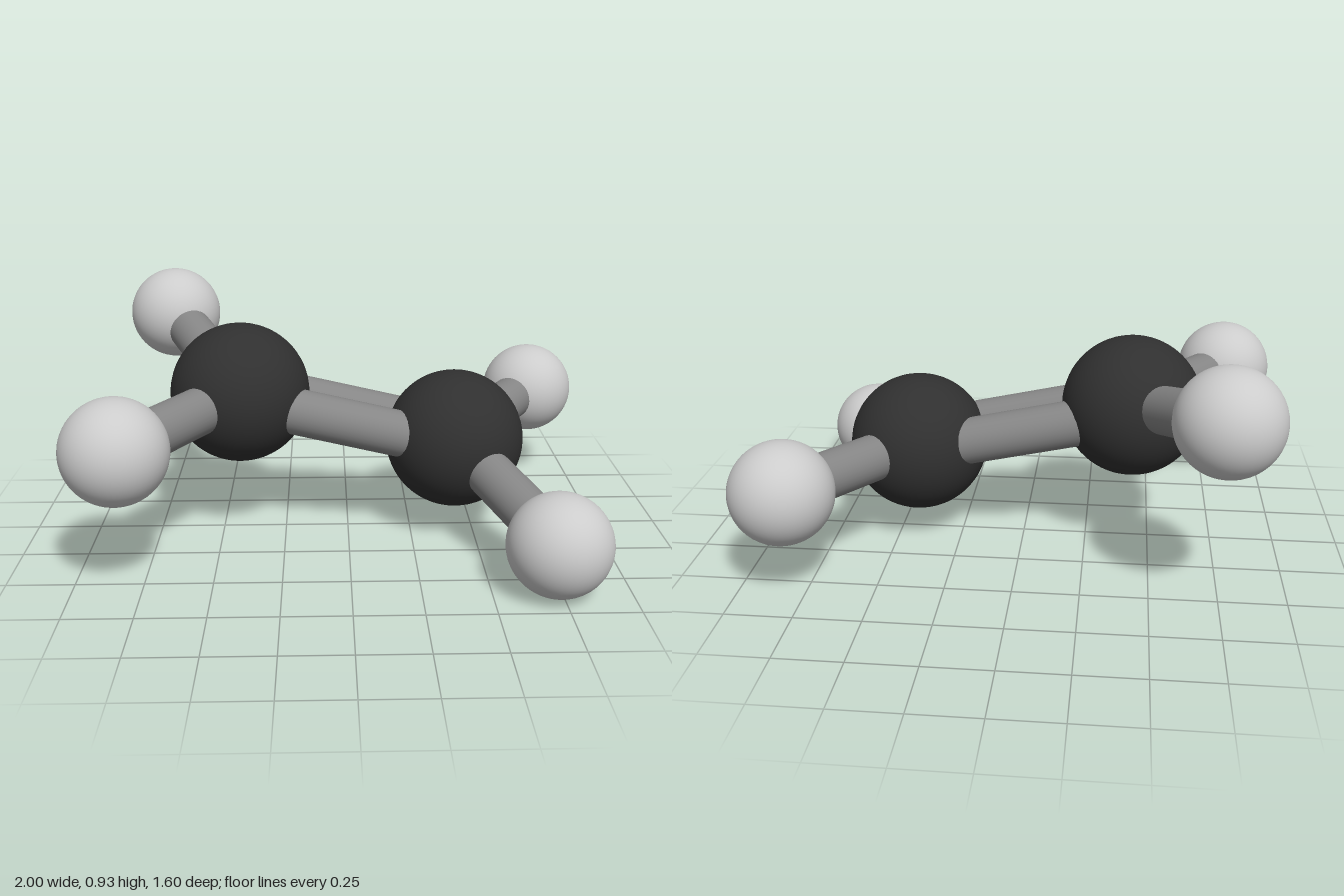
import * as THREE from 'three';

const CORE_R = 0.27, OUTER_R = 0.19, BOND_R = 0.09;

const coreMaterial = new THREE.MeshStandardMaterial({ color: 0x303030 });
const outerMaterial = new THREE.MeshStandardMaterial({ color: 0xcccccc });
const bondMaterial = new THREE.MeshStandardMaterial({ color: 0x868686 });

function atom(name, position, radius, material) {
  const mesh = new THREE.Mesh(new THREE.SphereGeometry(radius, 48, 32), material);
  mesh.name = name;
  mesh.position.copy(position);
  return mesh;
}

// Round rod between two points
function bond(name, from, to) {
  const axis = to.clone().sub(from);
  const mesh = new THREE.Mesh(new THREE.CylinderGeometry(BOND_R, BOND_R, axis.length(), 32), bondMaterial);
  mesh.name = name;
  mesh.position.copy(from).add(to).multiplyScalar(0.5);
  mesh.quaternion.setFromUnitVectors(new THREE.Vector3(0, 1, 0), axis.normalize());
  return mesh;
}

export function createModel() {
  const model = new THREE.Group();
  model.name = 'ethyleneMolecule';

  // Each side: one carbon carrying a front and a back hydrogen
  const sides = [
    { name: 'right', core: [-0.42, 0.565, -0.012], front: [-0.81, 0.54, 0.57], back: [-0.735, 0.742, -0.61] },
    { name: 'left', core: [0.42, 0.375, 0.008], front: [0.73, 0.19, 0.606], back: [0.81, 0.4, -0.57] },
  ];
  const cores = sides.map((side) => {
    const core = new THREE.Vector3(...side.core);
    model.add(atom(side.name + 'Carbon', core, CORE_R, coreMaterial));
    for (const end of ['front', 'back']) {
      const outer = new THREE.Vector3(...side[end]);
      model.add(atom(`${side.name}${end}Hydrogen`, outer, OUTER_R, outerMaterial));
      model.add(bond(`${side.name}${end}Bond`, core, outer));
    }
    return core;
  });

  // Double bond: two parallel rods side by side
  for (const [name, z] of [['doubleBondFront', 0.094], ['doubleBondBack', -0.094]]) {
    const shift = new THREE.Vector3(0, 0, z);
    model.add(bond(name, cores[0].clone().add(shift), cores[1].clone().add(shift)));
  }
  return model;
}
